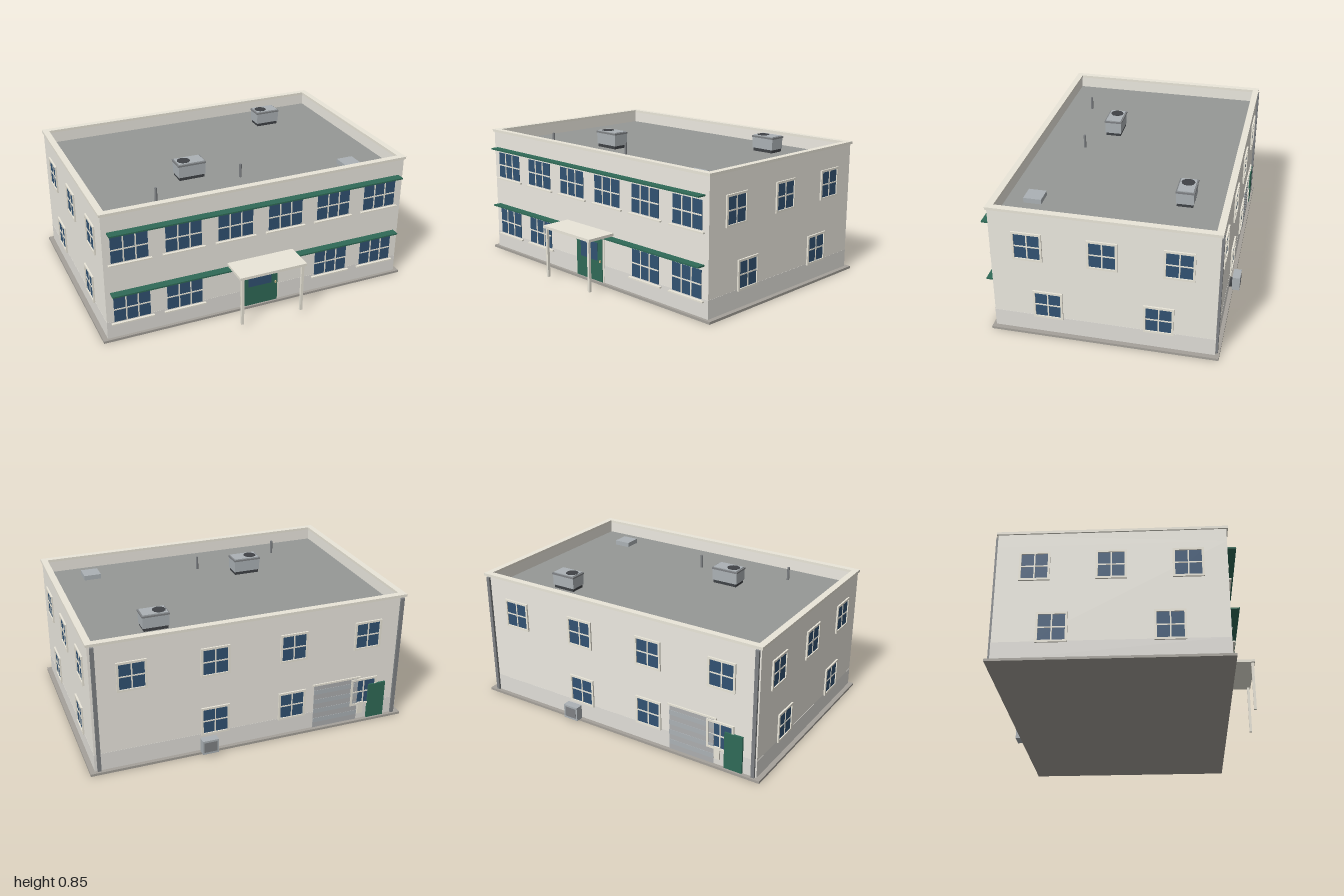
import * as THREE from 'three';

const mat = (color) => new THREE.MeshStandardMaterial({ color });
const WALL = mat(0xece9e0), TRIM = mat(0xeae6d9), DADO = mat(0xe0ded8), SLAB = mat(0xa5a19a);
const ROOF = mat(0x969896), GLASS = mat(0x315272), GREEN = mat(0x2f6a57), METAL = mat(0xabb1b5);
const DARK = mat(0x3f4246), PIPE = mat(0x7e8184), SHUTTER = mat(0xacaeaf), BRASS = mat(0xc8b888);

// Wall planes and roof level
const X = 0.97, ZF = 0.59, ZB = -0.713, ROOF_Y = 0.74;

// Box given by its extents along each axis
function box(parent, name, material, x0, x1, y0, y1, z0, z1) {
  const m = new THREE.Mesh(new THREE.BoxGeometry(x1 - x0, y1 - y0, z1 - z0), material);
  m.position.set((x0 + x1) / 2, (y0 + y1) / 2, (z0 + z1) / 2);
  m.name = name;
  parent.add(m);
}

// Upright cylinder standing on y
function cylinder(parent, name, material, r, h, x, y, z, sides) {
  const m = new THREE.Mesh(new THREE.CylinderGeometry(r, r, h, sides), material);
  m.position.set(x, y + h / 2, z);
  m.name = name;
  parent.add(m);
}

// Rectangular ring following the walls, grown by `out` and `inn` from them
function ring(parent, name, material, out, inn, y0, y1) {
  const rect = (P, d) => {
    const p = new P();
    p.moveTo(-X - d, -ZF - d);
    p.lineTo(X + d, -ZF - d);
    p.lineTo(X + d, -ZB + d);
    p.lineTo(-X - d, -ZB + d);
    p.closePath();
    return p;
  };
  const shape = rect(THREE.Shape, out);
  shape.holes.push(rect(THREE.Path, -inn));
  const g = new THREE.ExtrudeGeometry(shape, { depth: y1 - y0, bevelEnabled: false });
  g.rotateX(-Math.PI / 2);
  const m = new THREE.Mesh(g, material);
  m.position.y = y0;
  m.name = name;
  parent.add(m);
}

// Window facing +z, centred on its own origin
function makeWindow(w, h, cols, rows, border, sill) {
  const g = new THREE.Group();
  g.name = 'window';
  box(g, 'glass', GLASS, -w / 2, w / 2, -h / 2, h / 2, -0.005, 0.003);
  const t = 0.004;
  for (let i = 1; i < cols; i++) {
    const x = -w / 2 + (w * i) / cols;
    box(g, 'mullion', TRIM, x - t, x + t, -h / 2, h / 2, 0, 0.006);
  }
  for (let i = 1; i < rows; i++) {
    const y = -h / 2 + (h * i) / rows;
    box(g, 'mullion', TRIM, -w / 2, w / 2, y - t, y + t, 0, 0.006);
  }
  if (border) {
    const W = w / 2 + border, H = h / 2 + border;
    for (const s of [-1, 1]) {
      const a = (s * (w + border)) / 2, b = (s * (h + border)) / 2;
      box(g, 'frameSide', TRIM, a - border / 2, a + border / 2, -H, H, -0.005, 0.01);
      box(g, 'frameRail', TRIM, -w / 2, w / 2, b - border / 2, b + border / 2, -0.005, 0.01);
    }
  }
  if (sill) box(g, 'sill', TRIM, -w / 2 - 0.02, w / 2 + 0.02, -h / 2 - 0.016, -h / 2 - 0.007, 0, 0.016);
  return g;
}

function place(parent, part, x, y, z, turn = 0) {
  part.position.set(x, y, z);
  part.rotation.y = turn;
  parent.add(part);
}

const frontWindow = () => makeWindow(0.22, 0.165, 3, 2, 0, true);
const smallWindow = () => makeWindow(0.15, 0.157, 2, 2, 0.013, false);

// Rooftop cooling unit on a dark curb, with a round fan in the lid
function makeRoofUnit(w, d, top) {
  const g = new THREE.Group();
  g.name = 'roofUnit';
  const a = w / 2, b = d / 2;
  box(g, 'curb', DARK, -a + 0.01, a - 0.01, ROOF_Y, 0.762, -b + 0.008, b - 0.008);
  box(g, 'casing', METAL, -a + 0.004, a - 0.004, 0.76, top - 0.012, -b + 0.004, b - 0.004);
  box(g, 'lidRim', PIPE, -a, a, top - 0.016, top - 0.006, -b, b);
  box(g, 'lid', METAL, -a + 0.008, a - 0.008, top - 0.007, top - 0.001, -b + 0.008, b - 0.008);
  cylinder(g, 'fan', DARK, d * 0.36, 0.006, -w * 0.2, top - 0.006, 0, 12);
  return g;
}

export function createModel() {
  const model = new THREE.Group();
  model.name = 'building';

  // Shell: slab, walls, painted base band, roof deck and parapet
  box(model, 'baseSlab', SLAB, -1, 1, 0, 0.015, -0.738, 0.61);
  box(model, 'walls', WALL, -X, X, 0.015, ROOF_Y - 0.01, ZB, ZF);
  box(model, 'baseBand', DADO, -X - 0.001, X + 0.001, 0.015, 0.125, ZB - 0.001, ZF + 0.001);
  box(model, 'roofDeck', ROOF, -0.96, 0.96, ROOF_Y - 0.02, ROOF_Y, ZB + 0.01, ZF - 0.01);
  ring(model, 'parapet', WALL, 0, 0.026, ROOF_Y - 0.01, 0.812);
  ring(model, 'parapetCap', TRIM, 0.009, 0.031, 0.811, 0.827);

  // Front windows and the two green sunshades
  for (let i = 0; i < 6; i++) {
    const x = -0.814 + i * 0.325;
    place(model, frontWindow(), x, 0.592, ZF);
    if (i < 2 || i > 3) place(model, frontWindow(), x, 0.204, ZF + 0.001);
  }
  for (const y of [0.699, 0.311]) box(model, 'sunshade', GREEN, -0.94, 0.94, y, y + 0.009, ZF - 0.005, 0.642);

  // Side windows, the same on both ends
  for (const s of [-1, 1]) {
    const put = (z, y) => place(model, smallWindow(), s * X, y, z, (s * Math.PI) / 2);
    for (const z of [0.37, -0.062, -0.495]) put(z, 0.596);
    for (const z of [0.263, -0.385]) put(z, 0.208);
  }

  // Back windows
  for (const x of [0.73, 0.24, -0.25, -0.735]) {
    place(model, smallWindow(), x, 0.596, ZB, Math.PI);
    if (x < 0.5) place(model, smallWindow(), x, 0.208, ZB, Math.PI);
  }

  // Front entrance: door and canopy on two posts
  const entrance = new THREE.Group();
  entrance.name = 'entrance';
  model.add(entrance);
  box(entrance, 'doorFrame', TRIM, -0.132, 0.13, 0.015, 0.297, ZF - 0.01, ZF + 0.004);
  box(entrance, 'frontDoor', GREEN, -0.12, 0.116, 0.015, 0.286, ZF - 0.01, ZF + 0.008);
  box(entrance, 'doorGlass', GLASS, -0.08, 0.075, 0.145, 0.257, ZF, ZF + 0.01);
  box(entrance, 'doorHandle', BRASS, 0.097, 0.107, 0.138, 0.152, ZF, ZF + 0.016);
  box(entrance, 'canopy', TRIM, -0.217, 0.215, 0.328, 0.345, ZF - 0.005, 0.78);
  for (const x of [-0.196, 0.194]) box(entrance, 'canopyPost', TRIM, x - 0.008, x + 0.008, 0.018, 0.33, 0.758, 0.774);

  // Back service area: roller shutter, door, meter box and cooling unit
  box(model, 'rollerShutter', SHUTTER, -0.695, -0.397, 0.015, 0.305, ZB - 0.004, ZB);
  for (let i = 0; i < 4; i++) {
    const y = 0.05 + i * 0.065;
    box(model, 'shutterSlat', METAL, -0.695, -0.397, y, y + 0.03, ZB - 0.006, ZB);
  }
  box(model, 'shutterHeader', TRIM, -0.71, -0.385, 0.305, 0.316, ZB - 0.008, ZB);
  box(model, 'backDoor', GREEN, -0.882, -0.766, 0.015, 0.25, ZB - 0.012, ZB);
  box(model, 'meterBox', TRIM, -0.737, -0.7, 0.055, 0.135, ZB - 0.012, ZB);
  box(model, 'wallUnit', METAL, 0.24, 0.34, 0.022, 0.112, -0.78, -0.732);
  box(model, 'wallUnitGrille', PIPE, 0.25, 0.33, 0.035, 0.1, -0.781, -0.775);
  box(model, 'wallUnitBracket', DARK, 0.26, 0.32, 0.03, 0.06, -0.74, ZB);

  // Downpipes on the back corners
  for (const x of [-0.95, 0.945]) box(model, 'downpipe', PIPE, x - 0.011, x + 0.011, 0.016, 0.805, -0.727, ZB);

  // Rooftop equipment
  place(model, makeRoofUnit(0.18, 0.112, 0.848), -0.28, 0, 0.152);
  place(model, makeRoofUnit(0.166, 0.11, 0.844), 0.522, 0, -0.455);
  box(model, 'roofHatch', METAL, 0.638, 0.745, ROOF_Y, 0.77, 0.348, 0.455);
  for (const [x, z] of [[0, 0.29], [-0.58, 0.395]]) cylinder(model, 'ventPipe', PIPE, 0.008, 0.825 - ROOF_Y, x, ROOF_Y, z, 10);

  return model;
}
